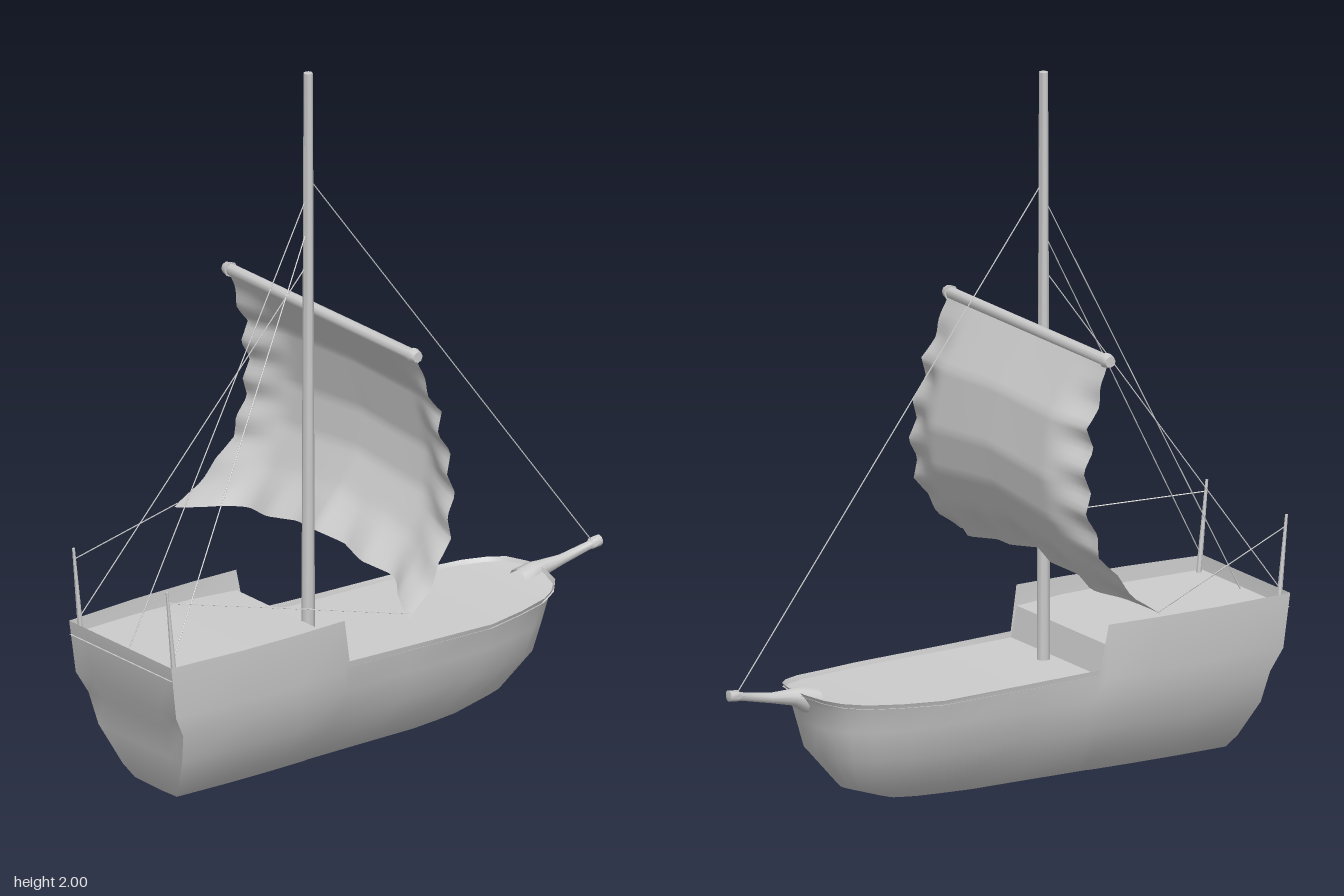
import * as THREE from 'three';
import { toCreasedNormals } from 'three/addons/utils/BufferGeometryUtils.js';

const material = new THREE.MeshStandardMaterial({ color: 0xcccccc, side: THREE.DoubleSide });
const V = (x, y, z) => new THREE.Vector3(x, y, z);

// Surface from a rule point(i, j) over a grid of cells
function gridGeometry(cols, rows, point, crease) {
  const pos = [], index = [];
  for (let j = 0; j <= rows; j++)
    for (let i = 0; i <= cols; i++) pos.push(...point(i, j));
  for (let j = 0; j < rows; j++)
    for (let i = 0; i < cols; i++) {
      const a = j * (cols + 1) + i, b = a + 1, c = a + cols + 1, d = c + 1;
      index.push(a, b, d, a, d, c);
    }
  const g = new THREE.BufferGeometry();
  g.setAttribute('position', new THREE.Float32BufferAttribute(pos, 3));
  g.setIndex(index);
  g.computeVertexNormals();
  return crease ? toCreasedNormals(g, crease) : g;
}

// Round bar between two points
function bar(a, b, r0, r1, sides) {
  const d = b.clone().sub(a);
  const g = new THREE.CylinderGeometry(r1, r0, d.length(), sides);
  g.applyQuaternion(new THREE.Quaternion().setFromUnitVectors(V(0, 1, 0), d.normalize()));
  const m = a.clone().add(b).multiplyScalar(0.5);
  g.translate(m.x, m.y, m.z);
  return toCreasedNormals(g, 0.9);
}

// Linear lookup in a list of [key, value] pairs
function lookup(table, k) {
  for (let i = 1; i < table.length; i++) {
    const [k0, v0] = table[i - 1], [k1, v1] = table[i];
    if (k <= k1) return v0 + (v1 - v0) * Math.max(0, (k - k0) / (k1 - k0));
  }
  return table[table.length - 1][1];
}

// Hull stations: x at the rail, width fraction, rail height, deck height
const stations = [
  [-0.84, 0.98, 0.47, 0.43], [-0.6, 1.05, 0.47, 0.425], [-0.4, 1.06, 0.47, 0.42],
  [-0.245, 1.04, 0.47, 0.41], [-0.222, 1.01, 0.342, 0.325], [0, 1, 0.335, 0.32],
  [0.28, 1, 0.328, 0.315], [0.4, 0.9, 0.33, 0.318], [0.5, 0.79, 0.335, 0.322],
  [0.56, 0.64, 0.34, 0.328], [0.595, 0.47, 0.345, 0.335], [0.613, 0.2, 0.348, 0.34],
  [0.62, 0, 0.35, 0.345],
];
// Hull levels: height, stern x, bow x, half width
const levels = [
  [0, -0.69, 0.3, 0], [0.018, -0.715, 0.36, 0.095], [0.055, -0.735, 0.47, 0.125],
  [0.16, -0.77, 0.56, 0.19], [0.25, -0.785, 0.582, 0.215], [0.315, -0.82, 0.6, 0.228],
  [0.34, -0.84, 0.62, 0.232],
];
const last = stations.length - 1, top = levels.length - 1;

function hullPoint(i, j, side) {
  const [x, w, rail] = stations[i], [y, xs, xb, half] = levels[j];
  const t = (x + 0.84) / 1.46;
  return [xs + (xb - xs) * t, j === top ? rail : y, side * half * w];
}

export function createModel() {
  const model = new THREE.Group();
  const add = (name, geometry) => {
    const mesh = new THREE.Mesh(geometry, material);
    mesh.name = name;
    model.add(mesh);
  };

  // Hull sides wrap round the bow; transom closes the stern
  add('hull', gridGeometry(2 * last, top, (i, j) =>
    i <= last ? hullPoint(i, j, 1) : hullPoint(2 * last - i, j, -1), 0.9));
  add('transom', gridGeometry(6, top, (i, j) => {
    const p = hullPoint(0, j, 1);
    return [p[0], p[1], p[2] * (i / 3 - 1)];
  }, 0.9));

  // Main deck, bulkhead and raised aft deck in one strip
  add('deck', gridGeometry(4, last, (i, j) => {
    const [x, w, , y] = stations[j];
    return [x, y, 0.23 * w * (i / 2 - 1)];
  }, 0.5));

  // Bowsprit, flaring into the stem and ending in a small knob
  const sprit = [[0.55, 0.305, 0.045], [0.6, 0.325, 0.035], [0.63, 0.335, 0.024],
    [0.7, 0.343, 0.015], [0.8, 0.362, 0.012], [0.805, 0.365, 0.016],
    [0.835, 0.368, 0.016], [0.84, 0.368, 0]];
  add('bowsprit', gridGeometry(10, sprit.length - 1, (i, j) => {
    const [x, y, r] = sprit[j], a = -i / 10 * Math.PI * 2;
    return [x, y + r * Math.cos(a), r * Math.sin(a)];
  }, 1));

  // Mast and yard
  add('mast', bar(V(-0.183, 0.31, 0), V(-0.183, 2, 0), 0.019, 0.013, 8));
  add('yard', bar(V(-0.135, 1.28, -0.41), V(-0.135, 1.28, 0.41), 0.017, 0.017, 8));
  for (const s of [-1, 1])
    add('yardEnd', bar(V(-0.135, 1.28, s * 0.405), V(-0.135, 1.28, s * 0.428), 0.022, 0.016, 8));

  // Billowing sail: the belly bulges forward, the edges are pulled aft in creases
  const belly = [[0, -0.135], [0.12, -0.085], [0.25, -0.03], [0.5, 0], [0.68, -0.015],
    [0.85, -0.07], [1, -0.14]];
  const halfWidth = [[0, 0.415], [0.3, 0.435], [0.7, 0.475], [1, 0.525]];
  const tooth = k => Math.abs((k % 1 + 1) % 1 - 0.5) * 2;
  const NU = 48, NV = 40;
  add('sail', gridGeometry(NU, NV, (i, j) => {
    const u = i / NU * 2 - 1, v = j / NV, a = Math.abs(u);
    const bottom = 0.645 - 0.05 * Math.min(a / 0.75, 1) - 0.03 * Math.max(0, (a - 0.75) / 0.25);
    const y = 1.28 + (bottom - 1.28) * v;
    const edge = THREE.MathUtils.smoothstep(a, 0.62, 1);
    const foot = THREE.MathUtils.smoothstep(v, 0.8, 1);
    const mid = Math.min(1, v * 4);
    const x = lookup(belly, v) - edge * mid * (0.025 + 0.03 * tooth(v * 6))
      - foot * 0.025 * tooth(u * 2.5) * (1 - edge) - foot * edge * 0.045;
    return [x, y, u * lookup(halfWidth, v)];
  }));

  // Stern posts and the sheets to the sail corners
  const rope = (name, a, b) => add(name, bar(a, b, 0.0018, 0.0018, 5));
  for (const s of [-1, 1]) {
    add('sternPost', bar(V(-0.813, 0.42, s * 0.208), V(-0.84, 0.69, s * 0.208), 0.008, 0.004, 6));
    rope('sheet', V(-0.838, 0.657, s * 0.208), V(-0.23, 0.575, s * 0.522));
    rope('backStay', V(-0.82, 0.48, s * 0.208), V(-0.19, s > 0 ? 1.53 : 1.43, 0));
  }

  // Centre stays fore and aft
  rope('centreBackStay', V(-0.82, 0.43, 0), V(-0.19, 1.63, 0));
  rope('foreStay', V(-0.175, 1.68, 0), V(0.81, 0.37, 0));

  return model;
}
